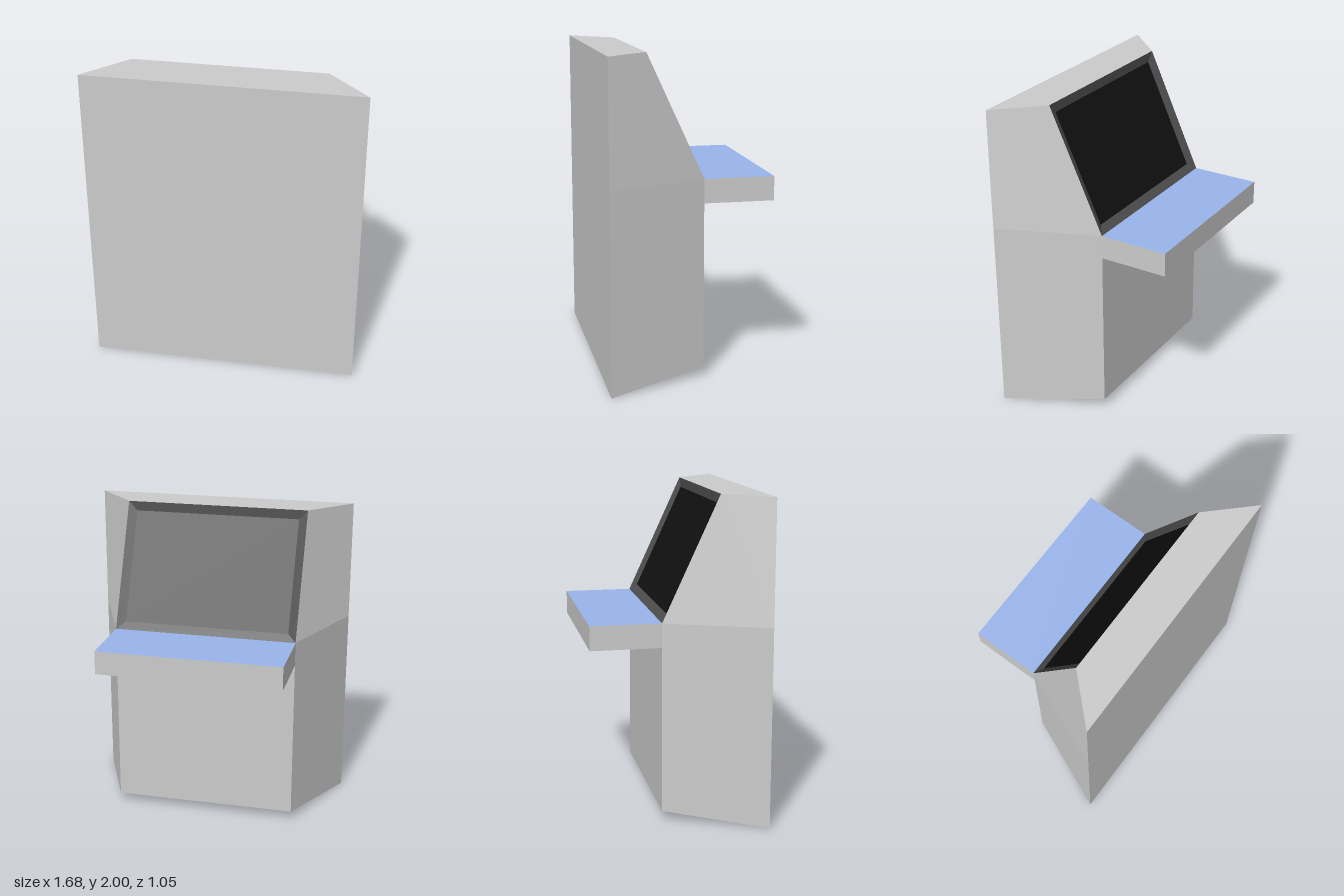
import * as THREE from 'three';

const paint = (color) => new THREE.MeshStandardMaterial({ color });

// Flat-shaded polygons, each a fan from its first corner (counter-clockwise from outside)
function faces(name, polygons, material) {
  const pos = [], nor = [];
  for (const poly of polygons) {
    const n = new THREE.Vector3();
    poly.forEach((a, i) => {
      const b = poly[(i + 1) % poly.length];
      n.x += (a[1] - b[1]) * (a[2] + b[2]);
      n.y += (a[2] - b[2]) * (a[0] + b[0]);
      n.z += (a[0] - b[0]) * (a[1] + b[1]);
    });
    n.normalize();
    for (let i = 1; i < poly.length - 1; i++) {
      for (const p of [poly[0], poly[i], poly[i + 1]]) {
        pos.push(...p);
        nor.push(n.x, n.y, n.z);
      }
    }
  }
  const geo = new THREE.BufferGeometry();
  geo.setAttribute('position', new THREE.Float32BufferAttribute(pos, 3));
  geo.setAttribute('normal', new THREE.Float32BufferAttribute(nor, 3));
  const mesh = new THREE.Mesh(geo, material);
  mesh.name = name;
  return mesh;
}

const mirror = (poly) => poly.map(([x, y, z]) => [-x, y, z]).reverse();

export function createModel() {
  const group = new THREE.Group();
  group.name = 'arcadeCabinet';
  const grey = paint(0xcccccc), black = paint(0x111111), trim = paint(0x4d4d4d);

  const W = 0.84, w = 0.585;               // half widths at the wide and narrow sides
  const zF = 0.525, zT = 0.26, zB = -0.09; // wide panel, top edge, narrow panel
  const H = 2, shelf = 1.24, foot = 0.06;

  // Cabinet shell
  group.add(faces('widePanel', [[[-W, 0, zF], [W, 0, zF], [W, H, zF], [-W, H, zF]]], grey));
  group.add(faces('topPanel', [[[-W, H, zF], [W, H, zF], [w, H, zT], [-w, H, zT]]], grey));
  group.add(faces('narrowPanel', [[[w, foot, zB], [-w, foot, zB], [-w, shelf, zB], [w, shelf, zB]]], grey));
  group.add(faces('bottomPanel', [[[-W, 0, zF], [-w, foot, zB], [w, foot, zB], [W, 0, zF]]], black));

  // Side walls: tapered lower part and twisted upper part
  const lower = [[W, 0, zF], [w, foot, zB], [w, shelf, zB], [W, shelf, zF]];
  const upper = [[W, shelf, zF], [w, shelf, zB], [w, H, zT], [W, H, zF]];
  group.add(faces('leftSide', [lower, upper], grey));
  // rotate the mirrored upper part so its fan starts at the same corner
  const up = mirror(upper);
  group.add(faces('rightSide', [mirror(lower), [up[3], up[0], up[1], up[2]]], grey));

  // Bevelled screen surround and recessed screen
  const inset = 0.055, depth = 0.022;
  const along = new THREE.Vector3(0, H - shelf, zT - zB).normalize();
  const inward = new THREE.Vector3(0, -along.z, along.y);
  const outer = [[w, shelf, zB], [-w, shelf, zB], [-w, H, zT], [w, H, zT]];
  const inner = outer.map(([x, y, z], i) => new THREE.Vector3(x - Math.sign(x) * inset, y, z)
    .addScaledVector(along, i < 2 ? inset : -inset)
    .addScaledVector(inward, depth).toArray());
  const bevels = outer.map((p, i) => {
    const j = (i + 1) % 4;
    return [p, outer[j], inner[j], inner[i]];
  });
  group.add(faces('screenSurround', bevels, trim));
  group.add(faces('screen', [inner], black));

  // Control shelf with a blue top
  const zS = -0.525, under = 1.09;
  const tray = new THREE.Mesh(
    new THREE.BoxGeometry(2 * w, shelf - under, zB - zS),
    [grey, grey, paint(0x9ab5ec), grey, grey, grey]
  );
  tray.name = 'controlShelf';
  tray.position.set(0, (shelf + under) / 2, (zB + zS) / 2);
  group.add(tray);

  return group;
}
